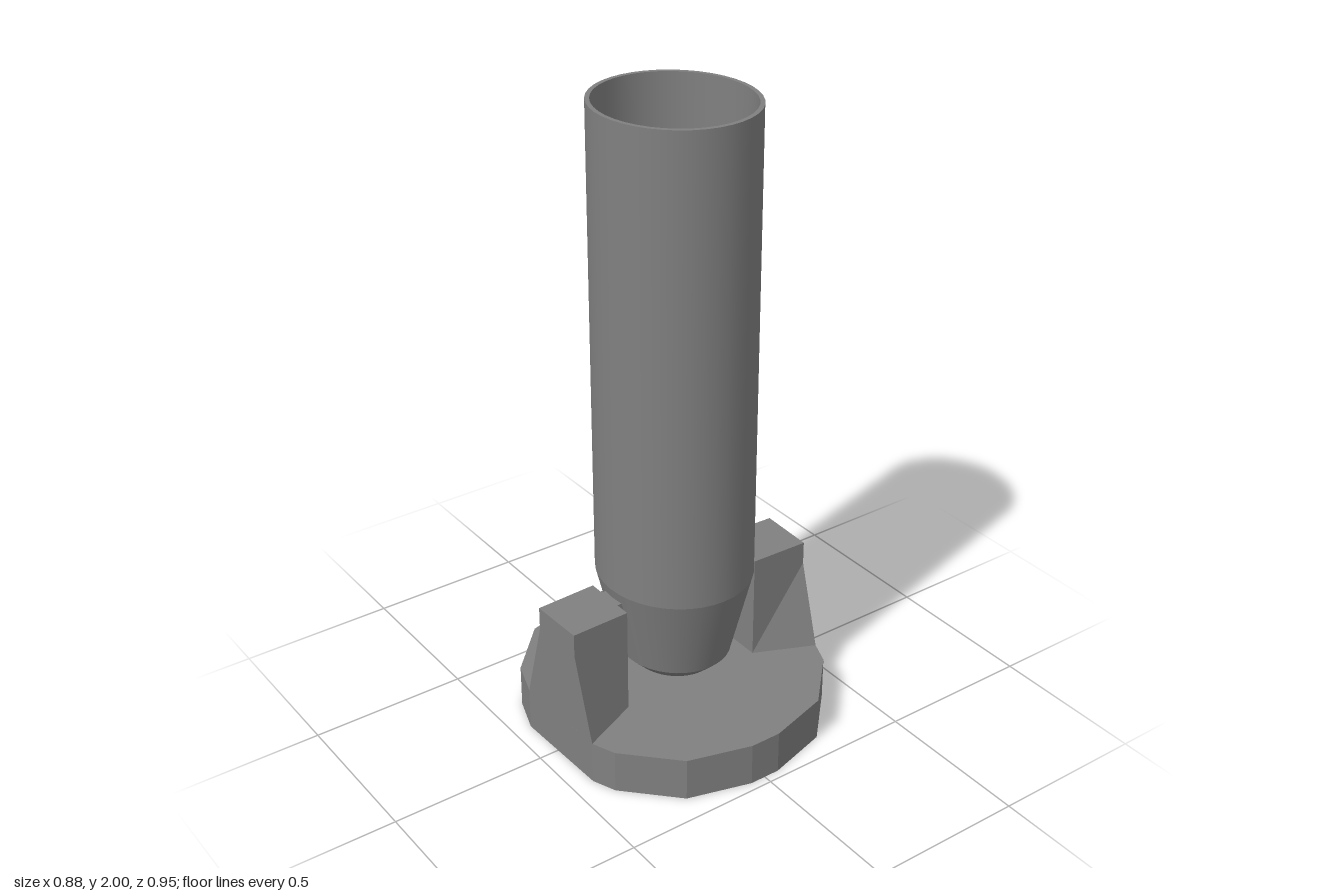
import * as THREE from 'three';

const grey = new THREE.MeshStandardMaterial({ color: 0x808080 });
grey.name = 'grey';

function addMesh(parent, name, geometry) {
  const mesh = new THREE.Mesh(geometry, grey);
  mesh.name = name;
  parent.add(mesh);
  return mesh;
}

// Surface of revolution; points rising in y face outward, falling face inward
function lathe(points) {
  return new THREE.LatheGeometry(points.map(([r, y]) => new THREE.Vector2(r, y)), 40);
}

// Flat plate with a sixteen-cornered outline
function basePlate() {
  const right = [
    [0.05, -0.475], [0.25, -0.42], [0.4, -0.265], [0.44, -0.15],
    [0.43, 0.185], [0.4, 0.26], [0.25, 0.415], [0.05, 0.472],
  ];
  const left = right.map(([x, z]) => [-x, z]).reverse();
  const shape = new THREE.Shape([...right, ...left].map(([x, z]) => new THREE.Vector2(x, -z)));
  const geometry = new THREE.ExtrudeGeometry(shape, { depth: 0.14, bevelEnabled: false });
  return geometry.rotateX(-Math.PI / 2);
}

// Upright: straight on the inner face, flaring to a wide foot on the outer face
function upright(side) {
  const inner = [[0.1, 0.14], [0.1, 0.41], [0.1, 0.485], [-0.083, 0.485], [-0.083, 0.41], [-0.083, 0.14]];
  const outer = [[0.185, 0.14], [0.105, 0.41], [0.105, 0.485], [-0.075, 0.485], [-0.075, 0.41], [-0.15, 0.14]];
  const positions = [];
  for (const [z, y] of inner) positions.push(side * 0.24, y, z);
  for (const [z, y] of outer) positions.push(side * (0.4355 - 0.03 * z), y, z);

  const index = [];
  const quad = (a, b, c, d) => {
    if (side > 0) index.push(a, b, c, a, c, d);
    else index.push(a, c, b, a, d, c);
  };
  for (let i = 0; i < 6; i++) {
    const j = (i + 1) % 6;
    quad(i, i + 6, j + 6, j);
  }
  quad(0, 1, 4, 5);
  quad(1, 2, 3, 4);
  quad(11, 10, 7, 6);
  quad(10, 9, 8, 7);

  const indexed = new THREE.BufferGeometry();
  indexed.setAttribute('position', new THREE.Float32BufferAttribute(positions, 3));
  indexed.setIndex(index);
  const geometry = indexed.toNonIndexed();
  geometry.computeVertexNormals();
  return geometry;
}

export function createModel() {
  const model = new THREE.Group();
  model.name = 'tubeOnStand';

  const stand = new THREE.Group();
  stand.name = 'stand';
  addMesh(stand, 'basePlate', basePlate());
  for (const side of [1, -1]) {
    const label = side > 0 ? 'left' : 'right';
    addMesh(stand, label + 'Upright', upright(side));
    // Pivot block reaching through the tube wall
    const pin = addMesh(stand, label + 'Pin', new THREE.BoxGeometry(0.04, 0.07, 0.085));
    pin.position.set(side * 0.225, 0.45, 0.007);
  }
  model.add(stand);

  // Hollow, slightly oval tube with a tapered, closed lower end
  const tube = new THREE.Group();
  tube.name = 'tube';
  addMesh(tube, 'outerWall', lathe([[0.237, 0.52], [0.237, 2]]));
  addMesh(tube, 'outerTaper', lathe([[0.172, 0.24], [0.237, 0.52]]));
  addMesh(tube, 'outerTip', lathe([[0, 0.165], [0.06, 0.18], [0.13, 0.197], [0.172, 0.24]]));
  addMesh(tube, 'rim', lathe([[0.237, 2], [0.224, 2]]));
  addMesh(tube, 'innerWall', lathe([[0.224, 2], [0.224, 0.525]]));
  addMesh(tube, 'innerTaper', lathe([[0.224, 0.525], [0.17, 0.26]]));
  addMesh(tube, 'innerFloor', lathe([[0.17, 0.26], [0.125, 0.215], [0.06, 0.197], [0, 0.185]]));
  tube.scale.z = 1.076;
  tube.position.z = 0.007;
  model.add(tube);

  return model;
}
